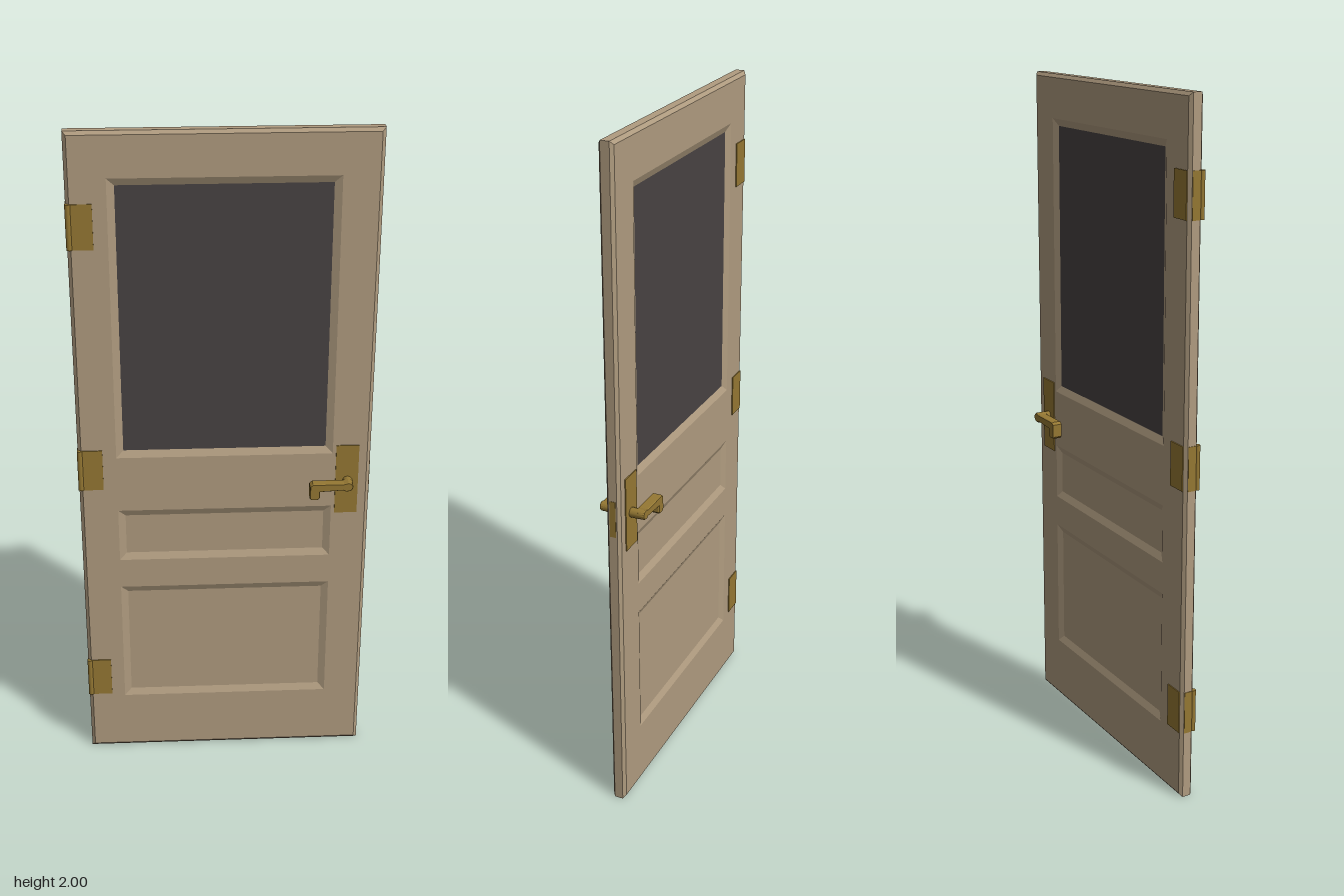
import * as THREE from 'three';

const paint = new THREE.MeshStandardMaterial({ name: 'tan paint', color: 0xb09c80 });
const brass = new THREE.MeshStandardMaterial({ name: 'aged brass', color: 0x957833 });
const glass = new THREE.MeshStandardMaterial({ name: 'dark glass', color: 0x484343 });

const W = 0.427, H = 2, FACE = 0.021, CHAMFER = 0.01;
const BEVEL = 0.021, RECESS = 0.009;

// Recessed fields: outer half width and bottom/top heights
const fields = [
  { name: 'window', y0: 1.04, y1: 1.873, mat: glass },
  { name: 'middlePanel', y0: 0.695, y1: 0.865, mat: paint },
  { name: 'lowerPanel', y0: 0.196, y1: 0.6, mat: paint },
];
const FIELD_W = 0.316;

function add(parent, name, geo, mat, x = 0, y = 0, z = 0) {
  const mesh = new THREE.Mesh(geo, mat);
  mesh.name = name;
  mesh.position.set(x, y, z);
  parent.add(mesh);
  return mesh;
}

function box(parent, name, mat, x0, x1, y0, y1, z0, z1) {
  return add(parent, name, new THREE.BoxGeometry(x1 - x0, y1 - y0, z1 - z0), mat,
    (x0 + x1) / 2, (y0 + y1) / 2, (z0 + z1) / 2);
}

// Corners of an inset rectangle, anticlockwise from the front
function corners(w, y0, y1, inset) {
  const x = w - inset, b = y0 + inset, t = y1 - inset;
  return [[-x, b], [x, b], [x, t], [-x, t]];
}

// Flat quads joining successive rectangles given as [inset, z]
function rectLoft(w, y0, y1, sections) {
  const pos = [];
  for (let s = 0; s < sections.length - 1; s++) {
    const [a, b] = [sections[s], sections[s + 1]].map(([inset, z]) =>
      corners(w, y0, y1, inset).map(([x, y]) => [x, y, z]));
    for (let i = 0; i < 4; i++) {
      const j = (i + 1) % 4;
      pos.push(...a[i], ...b[i], ...b[j], ...a[i], ...b[j], ...a[j]);
    }
  }
  const geo = new THREE.BufferGeometry();
  geo.setAttribute('position', new THREE.Float32BufferAttribute(pos, 3));
  geo.computeVertexNormals();
  return geo;
}

// One side of the door: rails and stiles, sloped mouldings and sunk panels
function doorSide(name) {
  const side = new THREE.Group();
  side.name = name;
  const toPoints = (c) => c.map(([x, y]) => new THREE.Vector2(x, y));
  const shape = new THREE.Shape(toPoints(corners(W, 0, H, CHAMFER)));
  for (const f of fields) {
    shape.holes.push(new THREE.Path(toPoints(corners(FIELD_W, f.y0, f.y1, 0)).reverse()));
  }
  add(side, 'railsAndStiles', new THREE.ShapeGeometry(shape), paint, 0, 0, FACE);
  for (const f of fields) {
    const sunk = FACE - RECESS;
    add(side, f.name + 'Moulding',
      rectLoft(FIELD_W, f.y0, f.y1, [[BEVEL, sunk], [0, FACE]]), paint);
    add(side, f.name + 'Surface',
      new THREE.PlaneGeometry(2 * (FIELD_W - BEVEL), f.y1 - f.y0 - 2 * BEVEL), f.mat,
      0, (f.y0 + f.y1) / 2, sunk);
  }
  return side;
}

// Lever outline: rounded hub end, straight bar, short downturned tip
function leverGeometry() {
  const s = new THREE.Shape();
  s.moveTo(0.253, 0.912);
  s.lineTo(0.270, 0.912);
  s.lineTo(0.275, 0.917);
  s.lineTo(0.275, 0.938);
  s.lineTo(0.347, 0.942);
  s.lineTo(0.353, 0.938);
  s.absarc(0.36, 0.951, 0.0125, -Math.PI / 2, Math.PI / 2, false);
  s.lineTo(0.347, 0.96);
  s.lineTo(0.256, 0.96);
  s.lineTo(0.249, 0.954);
  s.lineTo(0.249, 0.917);
  s.closePath();
  const geo = new THREE.ExtrudeGeometry(s, {
    depth: 0.024, curveSegments: 4, bevelEnabled: true,
    bevelThickness: 0.003, bevelSize: 0.002, bevelSegments: 1,
  });
  return geo.translate(0, 0, -0.012);
}

export function createModel() {
  const door = new THREE.Group();
  door.name = 'door';

  // Slab
  add(door, 'chamferedEdge', rectLoft(W, 0, H, [
    [CHAMFER, FACE], [0, 0.013], [0, -0.013], [CHAMFER, -FACE],
  ]), paint);
  door.add(doorSide('frontSide'));
  const back = doorSide('backSide');
  back.rotation.y = Math.PI;
  door.add(back);

  // Hinges: leaves on both faces and a barrel at the front corner
  for (const y of [0.27, 1.002, 1.74]) {
    const hinge = new THREE.Group();
    hinge.name = 'hinge';
    for (const s of [-1, 1]) {
      box(hinge, 'hingeLeaf', brass, -0.417, -0.356, y - 0.064, y + 0.064,
        s * 0.022 - 0.002, s * 0.022 + 0.002);
    }
    box(hinge, 'hingeEdgePlate', brass, -0.4285, -0.4265, y - 0.064, y + 0.064, -0.012, 0.013);
    add(hinge, 'hingeBarrel', new THREE.CylinderGeometry(0.0085, 0.0085, 0.128, 10), brass,
      -0.421, y, 0.02);
    door.add(hinge);
  }

  // Lock: edge plate, and a back plate, neck and lever on each face
  box(door, 'latchPlate', brass, 0.4262, 0.4282, 0.9, 1.01, -0.009, 0.009);
  for (const s of [-1, 1]) {
    const handle = new THREE.Group();
    handle.name = s > 0 ? 'frontHandle' : 'backHandle';
    box(handle, 'backPlate', brass, 0.326, 0.393, 0.843, 1.066,
      s * 0.022 - 0.002, s * 0.022 + 0.002);
    const neck = add(handle, 'neck', new THREE.CylinderGeometry(0.0145, 0.0145, 0.028, 10), brass,
      0.361, 0.951, s * 0.035);
    neck.rotation.x = Math.PI / 2;
    add(handle, 'lever', leverGeometry(), brass, 0, 0, s * 0.053);
    door.add(handle);
  }
  return door;
}
